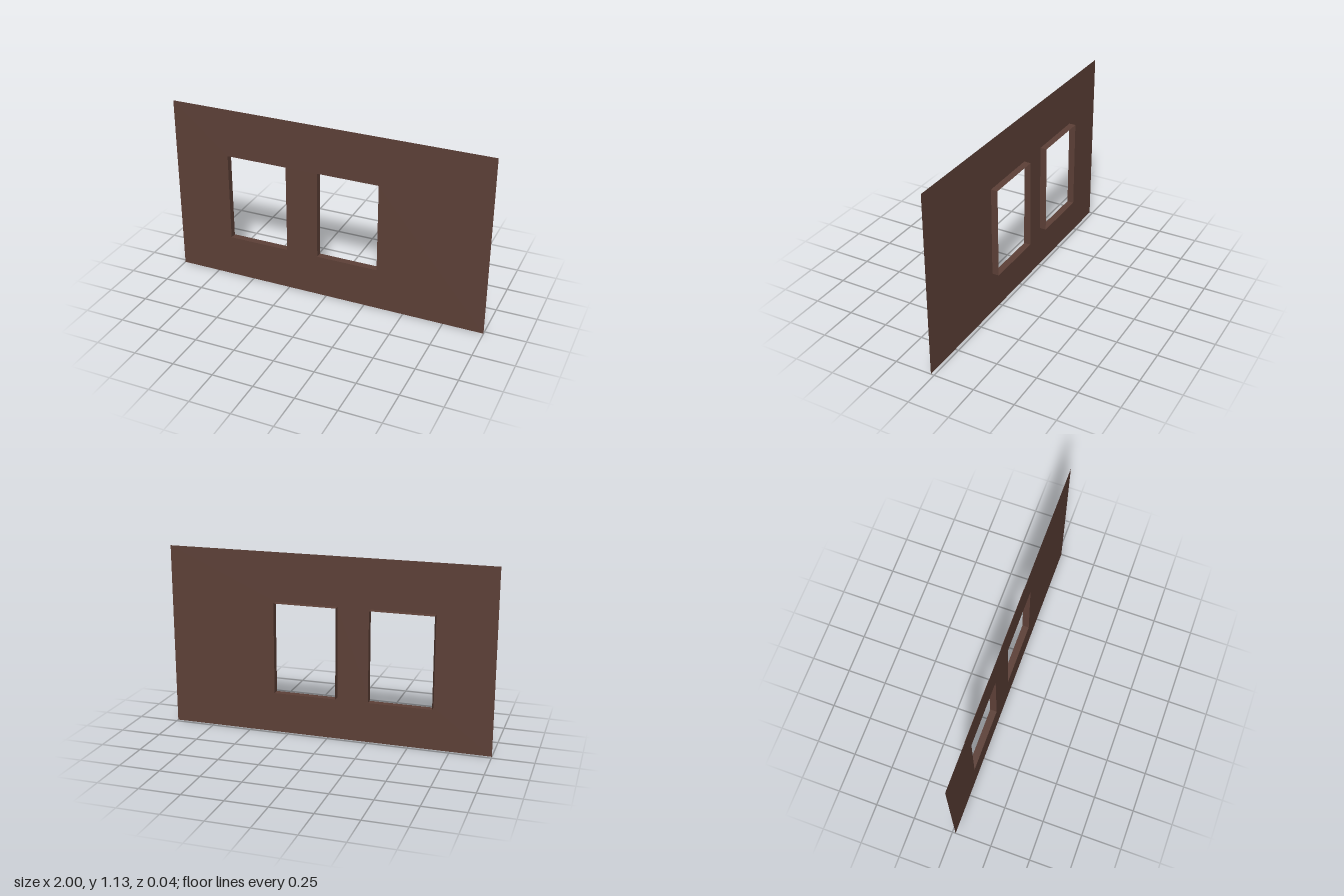
import * as THREE from 'three';

const HEIGHT = 1.127, FRONT = 0.021, DEPTH = 0.042;
const SILL = 0.265, HEAD = 0.825;
const OPENINGS = [[-0.647, -0.261], [-0.059, 0.326]];

export function createModel() {
  const brown = new THREE.MeshStandardMaterial({ color: 0x5d4037, side: THREE.DoubleSide });
  brown.name = 'brown';
  const model = new THREE.Group();
  model.name = 'windowWall';

  // Thin wall sheet with two window openings
  const rect = (Type, x0, x1, y0, y1) => new Type([
    new THREE.Vector2(x0, y0), new THREE.Vector2(x1, y0),
    new THREE.Vector2(x1, y1), new THREE.Vector2(x0, y1),
  ]);
  const outline = rect(THREE.Shape, -1, 1, 0, HEIGHT);
  for (const [x0, x1] of OPENINGS) outline.holes.push(rect(THREE.Path, x0, x1, SILL, HEAD));
  const wall = new THREE.Mesh(new THREE.ShapeGeometry(outline), brown);
  wall.name = 'wall';
  wall.position.z = FRONT;
  model.add(wall);

  // Sheet lining of each opening, reaching back behind the wall
  const midY = (SILL + HEAD) / 2;
  OPENINGS.forEach(([x0, x1], i) => {
    const reveal = new THREE.Group();
    reveal.name = i ? 'leftWindowReveal' : 'rightWindowReveal';
    const addSheet = (name, geometry, x, y) => {
      const sheet = new THREE.Mesh(geometry, brown);
      sheet.name = name;
      sheet.position.set(x, y, FRONT - DEPTH / 2);
      reveal.add(sheet);
    };
    const across = () => new THREE.PlaneGeometry(x1 - x0, DEPTH);
    const upright = () => new THREE.PlaneGeometry(DEPTH, HEAD - SILL);
    const midX = (x0 + x1) / 2;
    addSheet('sill', across().rotateX(-Math.PI / 2), midX, SILL);
    addSheet('head', across().rotateX(Math.PI / 2), midX, HEAD);
    addSheet('rightJamb', upright().rotateY(Math.PI / 2), x0, midY);
    addSheet('leftJamb', upright().rotateY(-Math.PI / 2), x1, midY);
    model.add(reveal);
  });
  return model;
}
